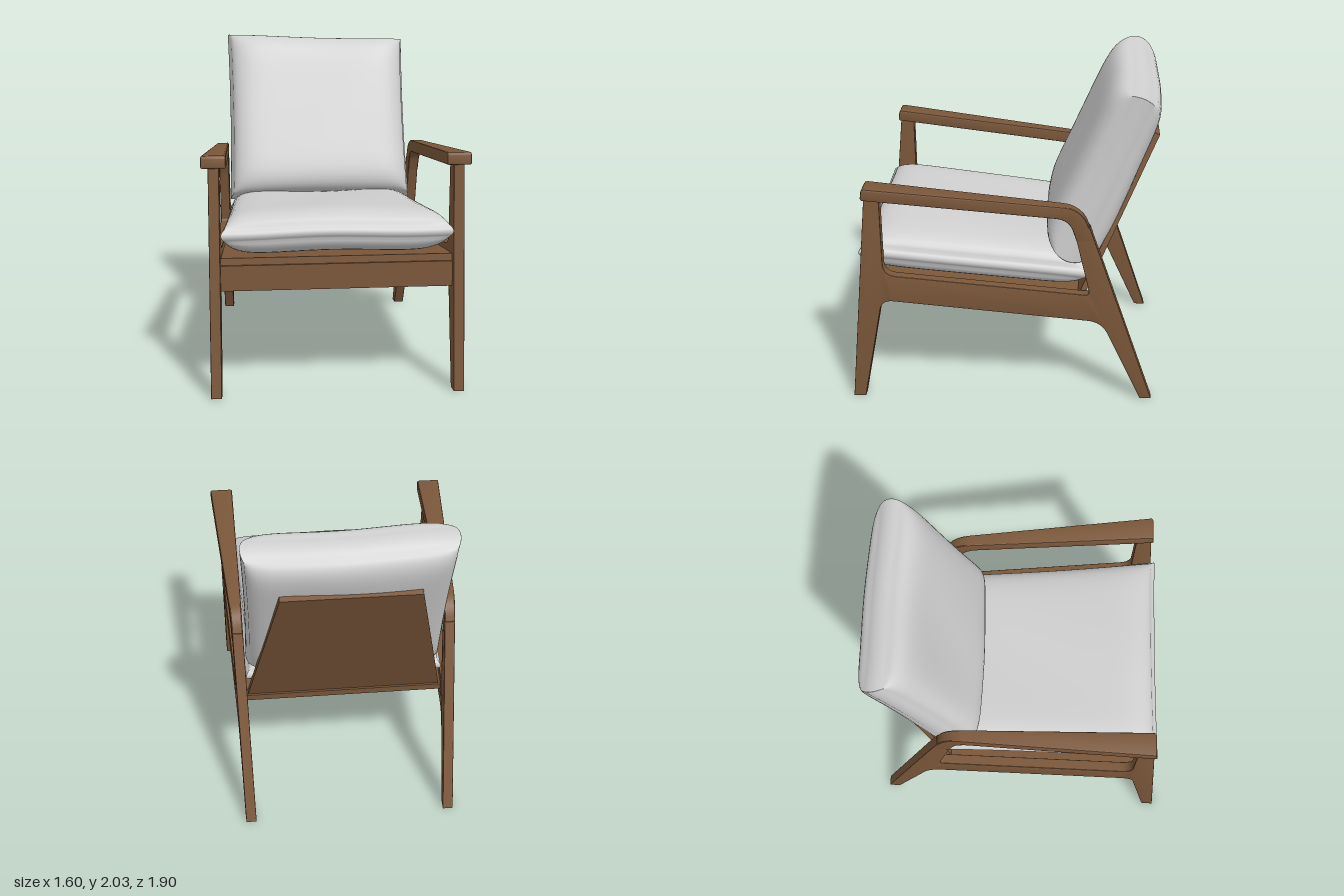
import * as THREE from 'three';
import { mergeVertices, toCreasedNormals } from 'three/addons/utils/BufferGeometryUtils.js';

const wood = new THREE.MeshStandardMaterial({ color: 0x7b573a });
wood.name = 'walnut wood';
const fabric = new THREE.MeshStandardMaterial({ color: 0xd0d0d0 });
fabric.name = 'light grey fabric';

function part(name, geometry, material) {
  const mesh = new THREE.Mesh(geometry, material);
  mesh.name = name;
  return mesh;
}

// Move every vertex by a rule
function deform(geometry, rule) {
  const pos = geometry.attributes.position;
  const p = new THREE.Vector3();
  for (let i = 0; i < pos.count; i++) {
    rule(p.fromBufferAttribute(pos, i));
    pos.setXYZ(i, p.x, p.y, p.z);
  }
  return geometry;
}

// Polygon of [z, y, corner radius]
function roundedShape(points) {
  const shape = new THREE.Shape();
  const n = points.length;
  points.forEach(([x, y, r = 0], i) => {
    const c = new THREE.Vector2(x, y);
    const toward = ([qx, qy]) => new THREE.Vector2(qx, qy).sub(c).setLength(r).add(c);
    const a = r ? toward(points[(i + n - 1) % n]) : c;
    if (i === 0) shape.moveTo(a.x, a.y);
    else shape.lineTo(a.x, a.y);
    if (r) {
      const b = toward(points[(i + 1) % n]);
      shape.quadraticCurveTo(c.x, c.y, b.x, b.y);
    }
  });
  shape.closePath();
  return shape;
}

// Side profile given a width and splayed outward toward the front
function sideBoard(points, side, widthAt, bevel) {
  let g = new THREE.ExtrudeGeometry(roundedShape(points), {
    depth: 1 - 2 * bevel * 8, curveSegments: 8, bevelEnabled: true,
    bevelThickness: bevel * 8, bevelSize: bevel, bevelOffset: -bevel, bevelSegments: 2,
  });
  g.rotateY(-Math.PI / 2);
  g.translate(0.5 - bevel * 8, 0, 0);
  deform(g, (p) => { p.x = side * (0.683 + 0.05 * p.z) + p.x * widthAt(p.z); });
  g.deleteAttribute('normal');
  g.computeVertexNormals();
  return toCreasedNormals(g, 0.5);
}

// Stuffed cushion: x is width, y thickness, z length
function cushion({ hw, hh, hl, edge, taper = 0, skew = 0, puff = 0 }) {
  let g = new THREE.BoxGeometry(2, 2, 2, 32, 8, 32);
  g.deleteAttribute('normal');
  g.deleteAttribute('uv');
  g = mergeVertices(g);
  deform(g, (p) => {
    const u = Math.sin(p.x * Math.PI / 2);
    const v = Math.sin(p.z * Math.PI / 2);
    const t = p.y;
    const fill = Math.sqrt(Math.max(0, (1 - Math.abs(u) ** 8) * (1 - Math.abs(v) ** 8)));
    const round = 1 - 0.03 * t * t;
    p.x = u * (hw + taper * v) * round * (1 - 0.015 * (1 - v * v));
    p.y = t * (hh + puff * v) * (edge + (1 - edge) * fill) + 0.006 * Math.sin(4 * u + 2 * v);
    p.z = v * hl * round * (1 - 0.012 * (1 - u * u)) + skew * u * (1 - v) / 2;
  });
  g.computeVertexNormals();
  return g;
}

// Flat board narrowing from the +z end to the -z end
function taperedPanel(front, back, thickness, length) {
  const g = new THREE.BoxGeometry(2, thickness, length);
  deform(g, (p) => { p.x *= p.z > 0 ? front : back; });
  g.computeVertexNormals();
  return g;
}

export function createModel() {
  const model = new THREE.Group();
  model.name = 'armchair';

  // Legs and side rail cut from one board
  const frameProfile = [
    [0.965, 0], [0.89, 0], [0.76, 0.69, 0.07], [-0.6, 0.55, 0.09], [-0.86, 0], [-0.93, 0],
    [-0.595, 0.955], [-0.51, 1.19], [-0.412, 1.19], [-0.523, 0.735, 0.035],
    [0.745, 0.862, 0.08], [0.75, 1.39], [0.838, 1.39],
  ];
  // Armrest bending down into the rear leg
  const armProfile = [
    [0.845, 1.447, 0.02], [0.855, 1.372, 0.015], [-0.385, 1.242, 0.08],
    [-0.433, 1.1], [-0.541, 1.1], [-0.455, 1.315, 0.11],
  ];
  for (const side of [1, -1]) {
    const label = side > 0 ? 'left' : 'right';
    model.add(part(label + 'SideFrame', sideBoard(frameProfile, side, () => 0.065, 0.004), wood));
    model.add(part(label + 'Armrest',
      sideBoard(armProfile, side, (z) => 0.067 + 0.061 * (z + 0.5), 0.01), wood));
  }

  // Front rail and seat board
  const rail = part('frontRail', new THREE.BoxGeometry(1.39, 0.155, 0.06), wood);
  rail.position.set(0, 0.7125, 0.835);
  model.add(rail);
  const seatBoard = part('seatBoard', taperedPanel(0.692, 0.625, 0.043, 1.36), wood);
  seatBoard.position.set(0, 0.741, 0.18);
  seatBoard.rotation.x = -0.106;
  model.add(seatBoard);

  // Leaning back board, narrower at the top
  const backBoard = part('backBoard', taperedPanel(0.62, 0.41, 0.035, 1.12), wood);
  backBoard.position.set(0, 1.185, -0.678);
  backBoard.rotation.x = Math.PI / 2 - 0.406;
  model.add(backBoard);

  // Cushions
  const seat = part('seatCushion',
    cushion({ hw: 0.655, hh: 0.138, hl: 0.705, edge: 0.25, taper: 0.035 }), fabric);
  seat.position.set(0, 0.91, 0.2);
  seat.rotation.x = -0.106;
  model.add(seat);
  const back = part('backCushion',
    cushion({ hw: 0.618, hh: 0.19, hl: 0.578, edge: 0.4, skew: 0.02, puff: 0.015 }), fabric);
  back.position.set(0, 1.465, -0.592);
  back.rotation.x = Math.PI / 2 - 0.4;
  model.add(back);

  return model;
}
